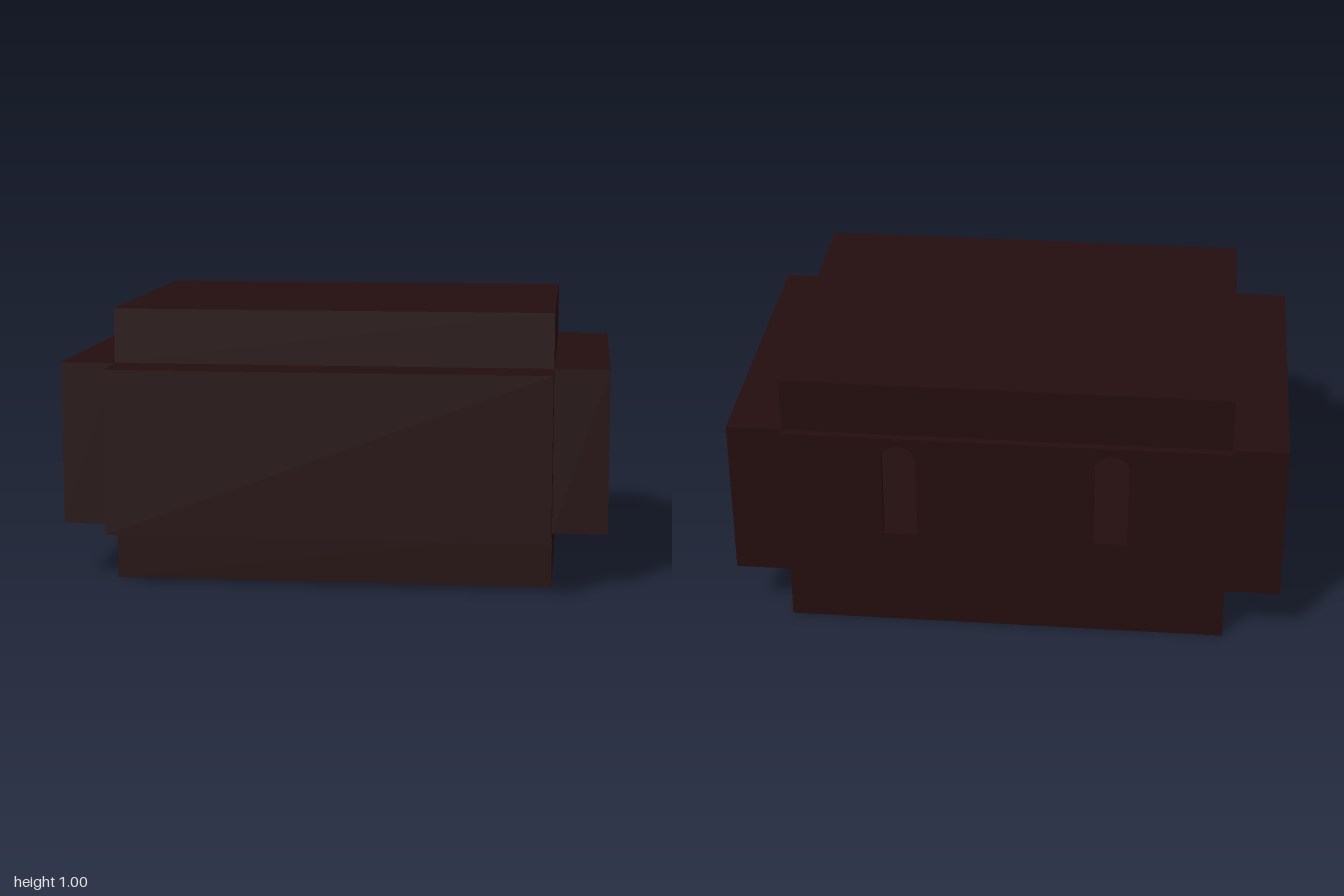
import * as THREE from 'three';

export function createModel() {
  const room = new THREE.Group();
  room.name = 'room';
  const darkBrown = new THREE.MeshStandardMaterial({ color: 0x230d0d });
  darkBrown.name = 'darkBrown';

  const add = (name, geometry, x, y, z) => {
    const mesh = new THREE.Mesh(geometry, darkBrown);
    mesh.name = name;
    mesh.position.set(x, y, z);
    room.add(mesh);
  };

  const W = 1.6, H = 0.6, D = 1.2, T = 0.2; // inner room size and slab thickness
  const midZ = -0.085, backZ = midZ - D / 2;

  // Thick slabs around the hollow room
  add('floor', new THREE.BoxGeometry(W, T, D), 0, 0.1, midZ);
  add('ceiling', new THREE.BoxGeometry(W, T, D), 0, 0.9, midZ);
  add('frontWall', new THREE.BoxGeometry(W, H, T), 0, 0.5, midZ + D / 2 + T / 2);
  for (const [name, side] of [['leftWall', 1], ['rightWall', -1]]) {
    add(name, new THREE.BoxGeometry(T, H, D), side * (W + T) / 2, 0.5, midZ);
  }

  // Thin back wall pierced by two arched windows
  const wall = new THREE.Shape();
  wall.moveTo(-W / 2, 0.2);
  wall.lineTo(W / 2, 0.2);
  wall.lineTo(W / 2, 0.8);
  wall.lineTo(-W / 2, 0.8);
  wall.closePath();
  const r = 0.062, sill = 0.4, spring = 0.708;
  for (const cx of [-0.38, 0.38]) {
    const opening = new THREE.Path();
    opening.moveTo(cx - r, sill);
    opening.lineTo(cx + r, sill);
    opening.lineTo(cx + r, spring);
    opening.absarc(cx, spring, r, 0, Math.PI, false);
    opening.closePath();
    wall.holes.push(opening);
  }
  const backWall = new THREE.ExtrudeGeometry(wall, { depth: 0.03, bevelEnabled: false, curveSegments: 16 });
  add('backWall', backWall, 0, 0, backZ - 0.03);

  return room;
}
